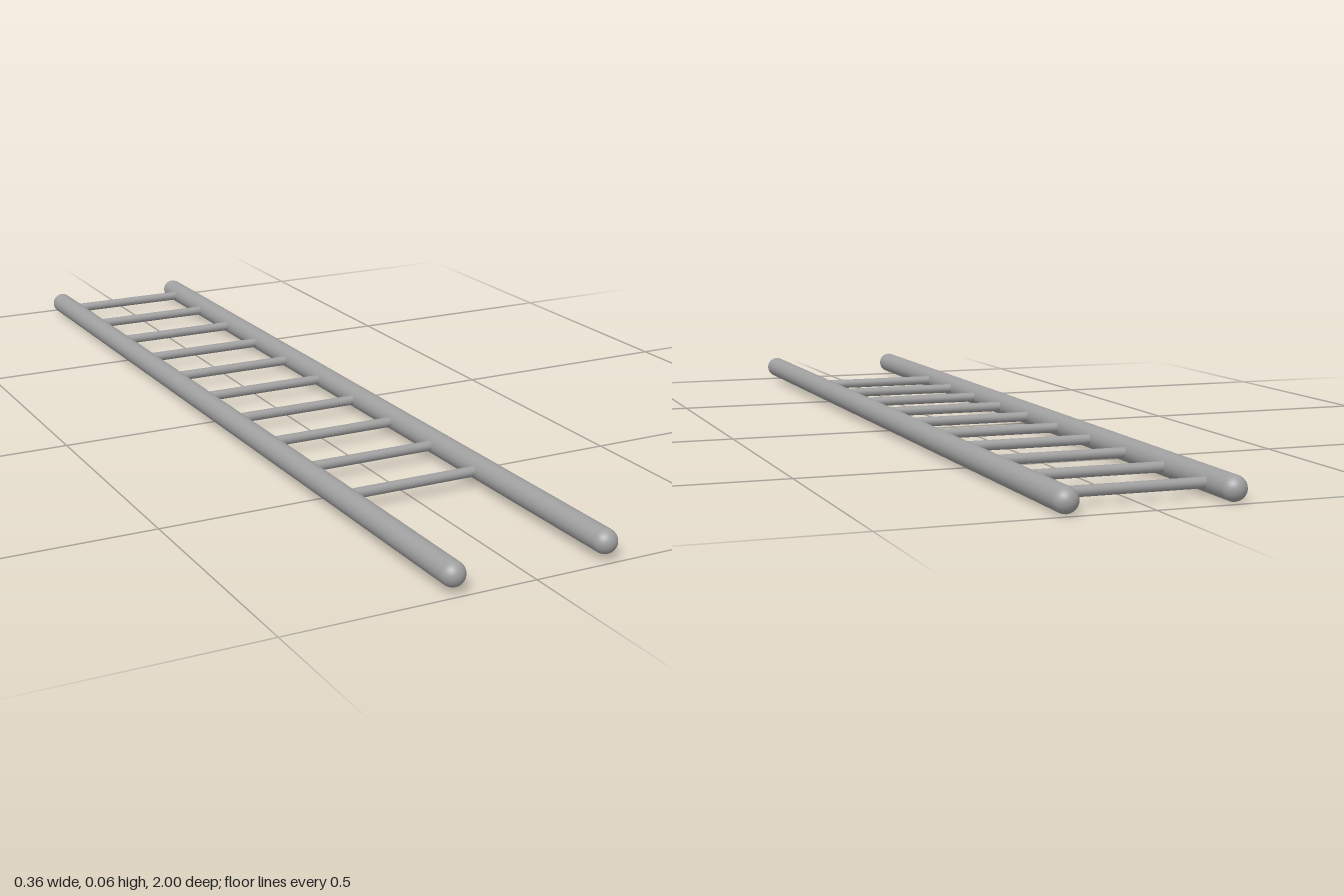
import * as THREE from 'three';

export function createModel() {
  const model = new THREE.Group();
  model.name = 'ladder';
  const metal = new THREE.MeshStandardMaterial({ color: 0xa0a0a0 });
  metal.name = 'grey metal';

  const railRadius = 0.024;
  const railX = 0.158;
  const rise = 0.01; // the front end lies slightly higher than the back

  // Everything sits in one gently tilted frame
  const frame = new THREE.Group();
  frame.name = 'ladderFrame';
  frame.position.y = railRadius + rise / 2;
  frame.rotation.x = -Math.atan2(rise, 2 - 2 * railRadius);
  model.add(frame);

  // Side rails with rounded ends
  const railGeometry = new THREE.CapsuleGeometry(railRadius, 2 - 2 * railRadius, 8, 24);
  railGeometry.rotateX(Math.PI / 2);
  for (const [name, side] of [['leftRail', 1], ['rightRail', -1]]) {
    const rail = new THREE.Mesh(railGeometry, metal);
    rail.name = name;
    rail.position.x = side * railX;
    frame.add(rail);
  }

  // Ten evenly spaced rungs, starting near the back end
  const rungGeometry = new THREE.CylinderGeometry(0.0105, 0.0105, railX * 2, 16);
  rungGeometry.rotateZ(Math.PI / 2);
  for (let i = 0; i < 10; i++) {
    const rung = new THREE.Mesh(rungGeometry, metal);
    rung.name = `rung${i + 1}`;
    rung.position.z = -0.912 + i * 0.1654;
    frame.add(rung);
  }
  return model;
}
